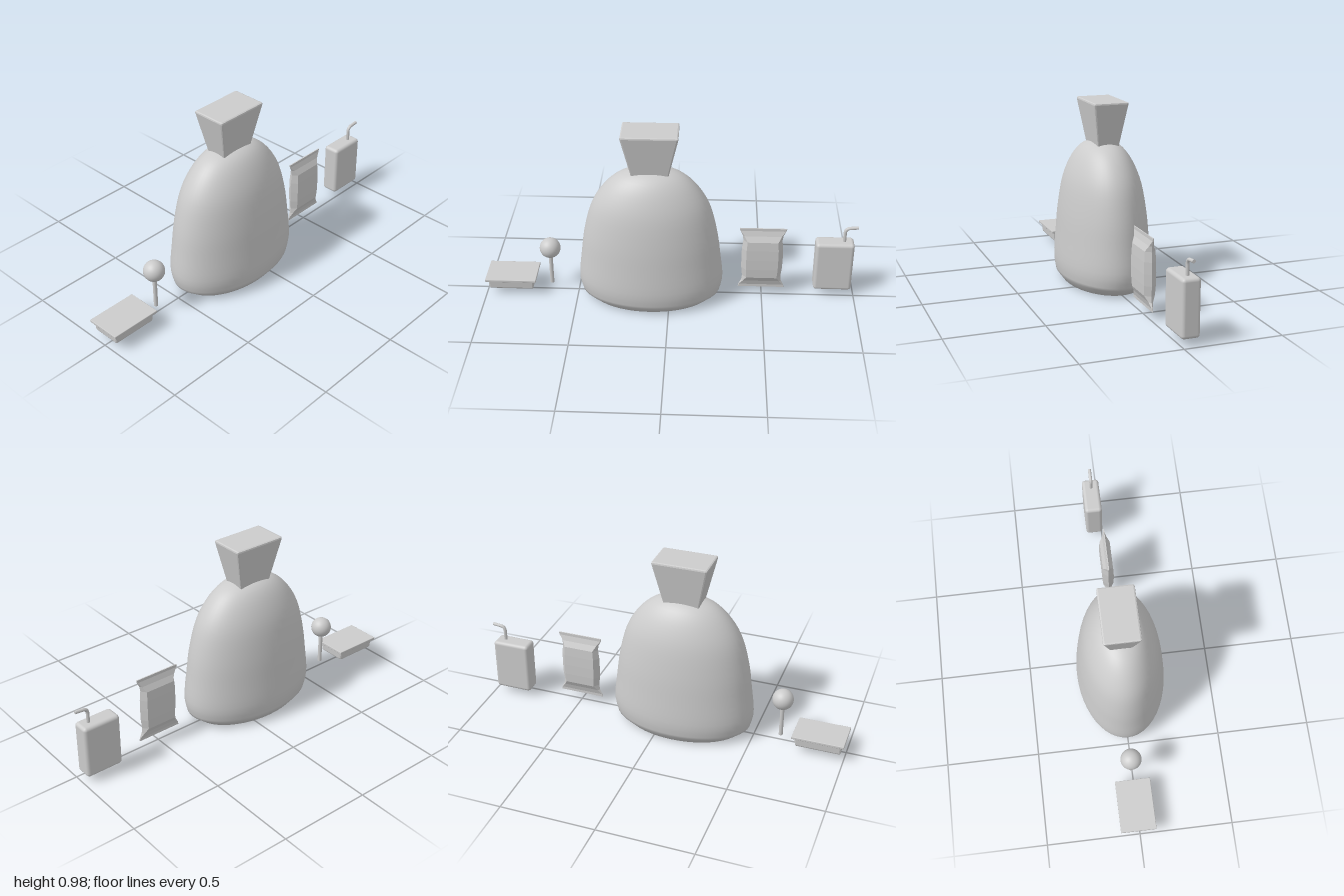
import * as THREE from 'three';
import { RoundedBoxGeometry } from 'three/addons/geometries/RoundedBoxGeometry.js';

const grey = new THREE.MeshStandardMaterial({ color: 0xcccccc });
const flatGrey = new THREE.MeshStandardMaterial({ color: 0xcccccc, flatShading: true });

function part(name, geometry, x, y, z, material = grey) {
  const mesh = new THREE.Mesh(geometry, material);
  mesh.name = name;
  mesh.position.set(x, y, z);
  return mesh;
}

function group(name, ...parts) {
  const g = new THREE.Group();
  g.name = name;
  g.add(...parts);
  return g;
}

// Bevelled box whose lower end is shrunk by the factors bx and bz
function taperedBox(w, h, d, bevel, bx, bz) {
  const geometry = new RoundedBoxGeometry(w, h, d, 1, bevel);
  const p = geometry.attributes.position;
  for (let i = 0; i < p.count; i++) {
    const t = p.getY(i) / h + 0.5;
    p.setX(i, p.getX(i) * (bx + (1 - bx) * t));
    p.setZ(i, p.getZ(i) * (bz + (1 - bz) * t));
  }
  geometry.computeVertexNormals();
  return geometry;
}

// Oval sack: a turned profile flattened front to back
function sackGeometry() {
  const side = new THREE.SplineCurve([
    [0.372, 0.042], [0.387, 0.12], [0.372, 0.26], [0.352, 0.4], [0.312, 0.55],
    [0.25, 0.655], [0.175, 0.725], [0.09, 0.758], [0, 0.765],
  ].map(([r, y]) => new THREE.Vector2(r, y))).getPoints(28);
  side[side.length - 1].x = 0;
  const profile = [new THREE.Vector2(0, 0), new THREE.Vector2(0.2, 0.001), new THREE.Vector2(0.325, 0.003), ...side];
  const geometry = new THREE.LatheGeometry(profile, 48);
  geometry.scale(1, 1, 0.62);
  return geometry;
}

// Pillow packet lofted from six-sided sections: [y, half width, half depth]
function packetGeometry() {
  const rows = [
    [0.045, 0.125, 0.003], [0.06, 0.122, 0.003], [0.088, 0.108, 0.012], [0.118, 0.104, 0.028],
    [0.17, 0.11, 0.031], [0.23, 0.111, 0.032], [0.29, 0.11, 0.031],
    [0.342, 0.104, 0.028], [0.372, 0.108, 0.012], [0.4, 0.122, 0.003], [0.415, 0.125, 0.003],
  ];
  const points = [], index = [];
  for (const [y, w, d] of rows) {
    const f = w - d * 0.8;
    for (const [x, z] of [[w, 0], [f, d], [-f, d], [-w, 0], [-f, -d], [f, -d]]) points.push(x, y, z);
  }
  for (let r = 0; r < rows.length - 1; r++) {
    for (let i = 0; i < 6; i++) {
      const a = r * 6 + i, b = r * 6 + (i + 1) % 6;
      index.push(a, a + 6, b, b, a + 6, b + 6);
    }
  }
  // End caps
  const top = (rows.length - 1) * 6;
  for (let i = 1; i < 5; i++) {
    index.push(0, i, i + 1);
    index.push(top, top + i + 1, top + i);
  }
  const geometry = new THREE.BufferGeometry();
  geometry.setAttribute('position', new THREE.Float32BufferAttribute(points, 3));
  geometry.setIndex(index);
  geometry.computeVertexNormals();
  return geometry;
}

// Bent drinking straw with closed ends
function strawParts(x, y, z) {
  const r = 0.009;
  const path = new THREE.CurvePath();
  const v = (a, b) => new THREE.Vector3(a, b, 0);
  path.add(new THREE.LineCurve3(v(0, -0.02), v(0, 0.05)));
  path.add(new THREE.QuadraticBezierCurve3(v(0, 0.05), v(0, 0.079), v(0.028, 0.081)));
  path.add(new THREE.LineCurve3(v(0.028, 0.081), v(0.069, 0.085)));
  const cap = part('strawEnd', new THREE.CircleGeometry(r, 10), x + 0.069, y + 0.085, z);
  cap.rotation.y = Math.PI / 2;
  return [part('straw', new THREE.TubeGeometry(path, 24, r, 10), x, y, z), cap];
}

export function createModel() {
  const model = new THREE.Group();
  model.name = 'sackAndSnacks';

  // Tied sack with a flared neck
  model.add(group('sack',
    part('sackBody', sackGeometry(), -0.102, 0, 0),
    part('sackNeck', taperedBox(0.3, 0.28, 0.192, 0.01, 0.58, 0.54), -0.102, 0.84, -0.006, flatGrey)));

  // Lidded tray
  model.add(group('tray',
    part('trayBody', taperedBox(0.25, 0.06, 0.165, 0.009, 0.96, 0.95), -0.862, 0.068, -0.008, flatGrey),
    part('trayLid', new RoundedBoxGeometry(0.276, 0.014, 0.19, 1, 0.003), -0.862, 0.097, -0.008)));

  // Lollipop
  model.add(group('lollipop',
    part('candyBall', new THREE.SphereGeometry(0.056, 32, 20), -0.648, 0.261, -0.008),
    part('lollipopStick', new THREE.CylinderGeometry(0.011, 0.011, 0.19, 16), -0.648, 0.133, -0.008)));

  // Snack packet
  model.add(part('snackPacket', packetGeometry(), 0.495, 0, -0.004, flatGrey));

  // Drink carton with straw
  model.add(group('drinkCarton',
    part('carton', new RoundedBoxGeometry(0.205, 0.29, 0.095, 3, 0.018), 0.882, 0.18, -0.042),
    ...strawParts(0.931, 0.325, -0.04)));

  return model;
}
